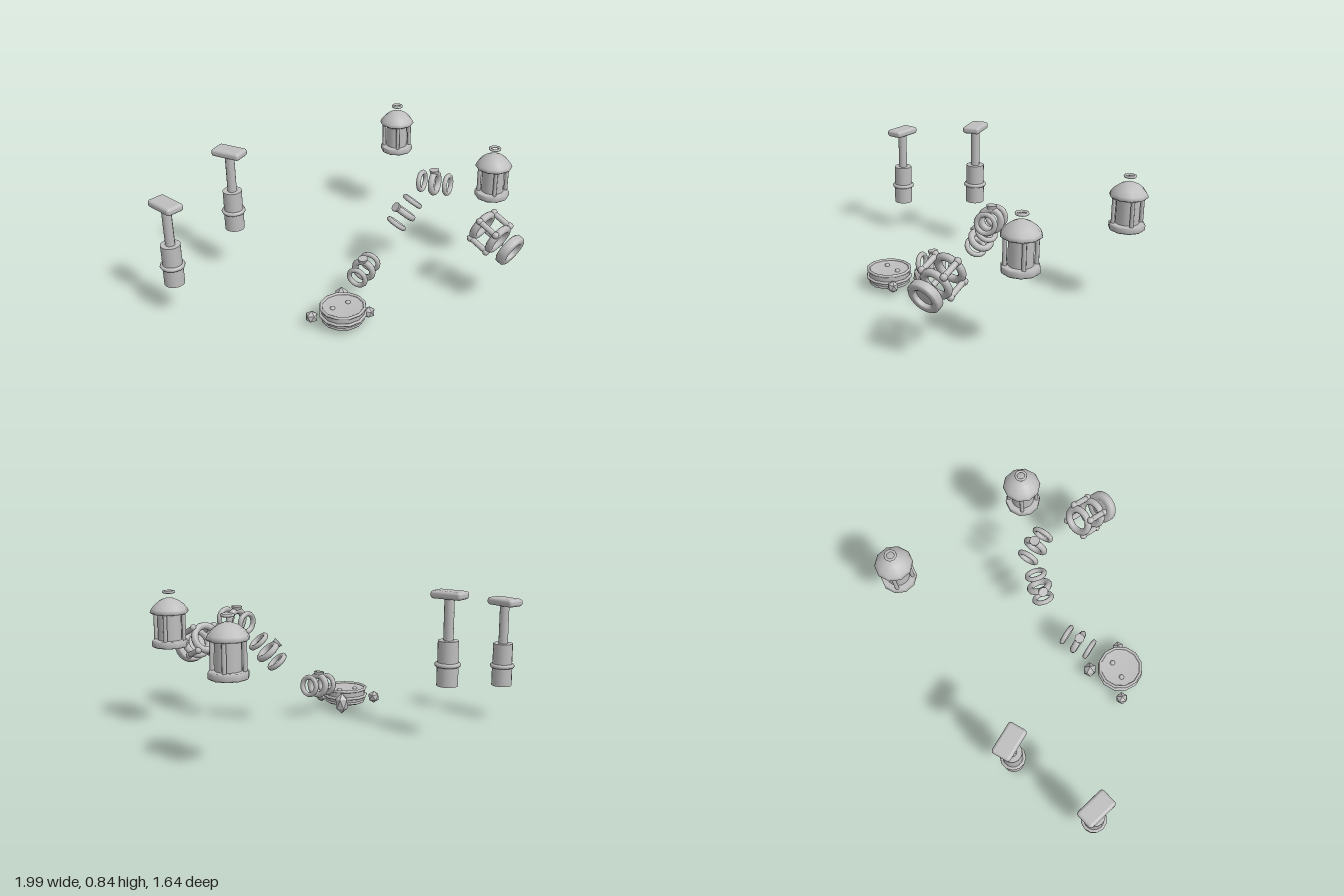
import * as THREE from 'three';
import { RoundedBoxGeometry } from 'three/addons/geometries/RoundedBoxGeometry.js';

const grey = new THREE.MeshStandardMaterial({ color: 0xbebebe });
grey.name = 'stone grey';

function add(parent, name, geometry, x = 0, y = 0, z = 0) {
  const mesh = new THREE.Mesh(geometry, grey);
  mesh.name = name;
  mesh.position.set(x, y, z);
  parent.add(mesh);
  return mesh;
}

function group(parent, name, x, y, z) {
  const g = new THREE.Group();
  g.name = name;
  g.position.set(x, y, z);
  parent.add(g);
  return g;
}

const cyl = (top, bottom, h, sides = 12) => new THREE.CylinderGeometry(top, bottom, h, sides);
// Torus lying flat, with its axis along y
const flatRing = (r, tube, sides = 12) => new THREE.TorusGeometry(r, tube, 8, sides).rotateX(Math.PI / 2);
const lathe = (points, sides) => new THREE.LatheGeometry(points.map(p => new THREE.Vector2(...p)), sides);

// Sleeve, collar, rod and plate, standing upright
function piston(parent, x, y, z, turn, rodTop) {
  const g = group(parent, 'piston', x, y, z);
  g.rotation.y = turn;
  add(g, 'lowerSleeve', cyl(0.06, 0.06, 0.125, 16), 0, 0.0625);
  add(g, 'upperSleeve', cyl(0.058, 0.058, 0.13, 16), 0, 0.19);
  add(g, 'collar', flatRing(0.061, 0.013), 0, 0.12);
  add(g, 'rod', cyl(0.028, 0.028, rodTop - 0.25), 0, (rodTop + 0.25) / 2);
  add(g, 'plate', new RoundedBoxGeometry(0.112, 0.045, 0.19, 3, 0.018), 0, rodTop + 0.018);
}

// Lantern with base, core, posts, domed roof and a floating loop
function lantern(parent, x, y, z) {
  const g = group(parent, 'lantern', x, y, z);
  const base = [[0, 0], [0.098, 0], [0.105, 0.007], [0.105, 0.034], [0.098, 0.041], [0, 0.041]];
  add(g, 'base', lathe(base, 10));
  add(g, 'core', cyl(0.068, 0.068, 0.17, 16), 0, 0.12);
  for (const px of [-0.059, 0.059]) for (const pz of [-0.059, 0.059])
    add(g, 'post', cyl(0.012, 0.012, 0.17, 8), px, 0.12, pz);
  const roof = [[0, 0.192], [0.1, 0.192], [0.112, 0.202], [0.104, 0.22],
    [0.085, 0.244], [0.055, 0.267], [0.025, 0.28], [0, 0.282]];
  add(g, 'roof', lathe(roof, 10));
  add(g, 'loop', flatRing(0.029, 0.008, 14), 0, 0.316);
}

// Three rings strung along a direction, the middle one larger and capped
function ringChain(parent, center, direction) {
  const g = group(parent, 'ringChain', ...center);
  const d = new THREE.Vector3(...direction).normalize();
  const side = new THREE.Vector3().crossVectors(new THREE.Vector3(0, 1, 0), d).normalize();
  const up = new THREE.Vector3().crossVectors(d, side);
  g.quaternion.setFromRotationMatrix(new THREE.Matrix4().makeBasis(side, up, d));
  for (const i of [-1, 1]) add(g, 'endRing', new THREE.TorusGeometry(0.053, 0.015, 8, 18), 0, 0, i * 0.083);
  add(g, 'middleRing', new THREE.TorusGeometry(0.058, 0.02, 8, 18));
  add(g, 'cap', cyl(0.031, 0.026, 0.02, 8), 0, 0.074, 0);
}

// Tilted cage of two rings and four bars, with a thick lens ring in front
function cage(parent) {
  const g = group(parent, 'cage', 0.425, 0.446, 0.617);
  g.rotation.x = 0.4;
  for (const z of [-0.062, 0.062]) {
    add(g, 'cageRing', new THREE.TorusGeometry(0.077, 0.022, 10, 20), 0, 0, z);
    for (const x of [-1, 1]) for (const y of [-1, 1])
      add(g, 'knob', new THREE.SphereGeometry(0.021, 10, 8), x * 0.072, y * 0.072, z);
  }
  for (const x of [-1, 1]) for (const y of [-1, 1])
    add(g, 'bar', cyl(0.017, 0.017, 0.124, 10).rotateX(Math.PI / 2), x * 0.07, y * 0.07, 0);
  const rim = [[0.056, -0.022], [0.066, -0.028], [0.088, -0.028], [0.099, -0.018],
    [0.099, 0.018], [0.088, 0.028], [0.066, 0.028], [0.056, 0.022], [0.056, -0.022]];
  add(g, 'lensRing', lathe(rim, 20).rotateX(Math.PI / 2), 0, 0, 0.157);
  add(g, 'lens', cyl(0.058, 0.058, 0.016, 20).rotateX(Math.PI / 2), 0, 0, 0.15);
}

// Shallow banded drum with two studs and three loose gems round it
function drum(parent) {
  const g = group(parent, 'drum', -0.356, -0.003, 0.173);
  const body = [[0, 0.032], [0.112, 0.034], [0.121, 0.045], [0.128, 0.12], [0.12, 0.124], [0.115, 0.116], [0, 0.116]];
  add(g, 'body', lathe(body, 12));
  for (const [y, r] of [[0.125, 0.128], [0.08, 0.131], [0.046, 0.117]])
    add(g, 'band', flatRing(r, 0.009, 12), 0, y);
  for (const [x, z] of [[-0.048, -0.036], [0.056, -0.012]])
    add(g, 'stud', new THREE.SphereGeometry(0.016, 10, 8), x, 0.115, z);
  // Offset, half-width and half-height of each gem
  const gems = [[-0.137, 0.066, -0.118, 0.038, 0.038], [0.131, 0.068, -0.133, 0.043, 0.064], [0.115, 0.068, 0.097, 0.036, 0.038]];
  for (const [x, y, z, w, h] of gems)
    add(g, 'gem', new THREE.IcosahedronGeometry(1, 0).rotateZ(0.55), x, y, z).scale.set(w, h, w);
}

export function createModel() {
  const model = new THREE.Group();
  model.name = 'floatingParts';
  piston(model, -0.926, 0.212, -0.62, 0, 0.487);
  piston(model, -0.373, 0.308, -0.72, 0.28, 0.49);
  lantern(model, 0.751, 0.483, 0.396);
  lantern(model, 0.885, 0.479, -0.483);
  ringChain(model, [-0.074, 0.196, 0.08], [0.157, 0.019, -0.04]);
  ringChain(model, [0.279, 0.444, 0.093], [0.102, 0.127, 0.038]);
  ringChain(model, [0.424, 0.628, 0.202], [0.045, 0.012, 0.163]);
  cage(model);
  drum(model);
  return model;
}
